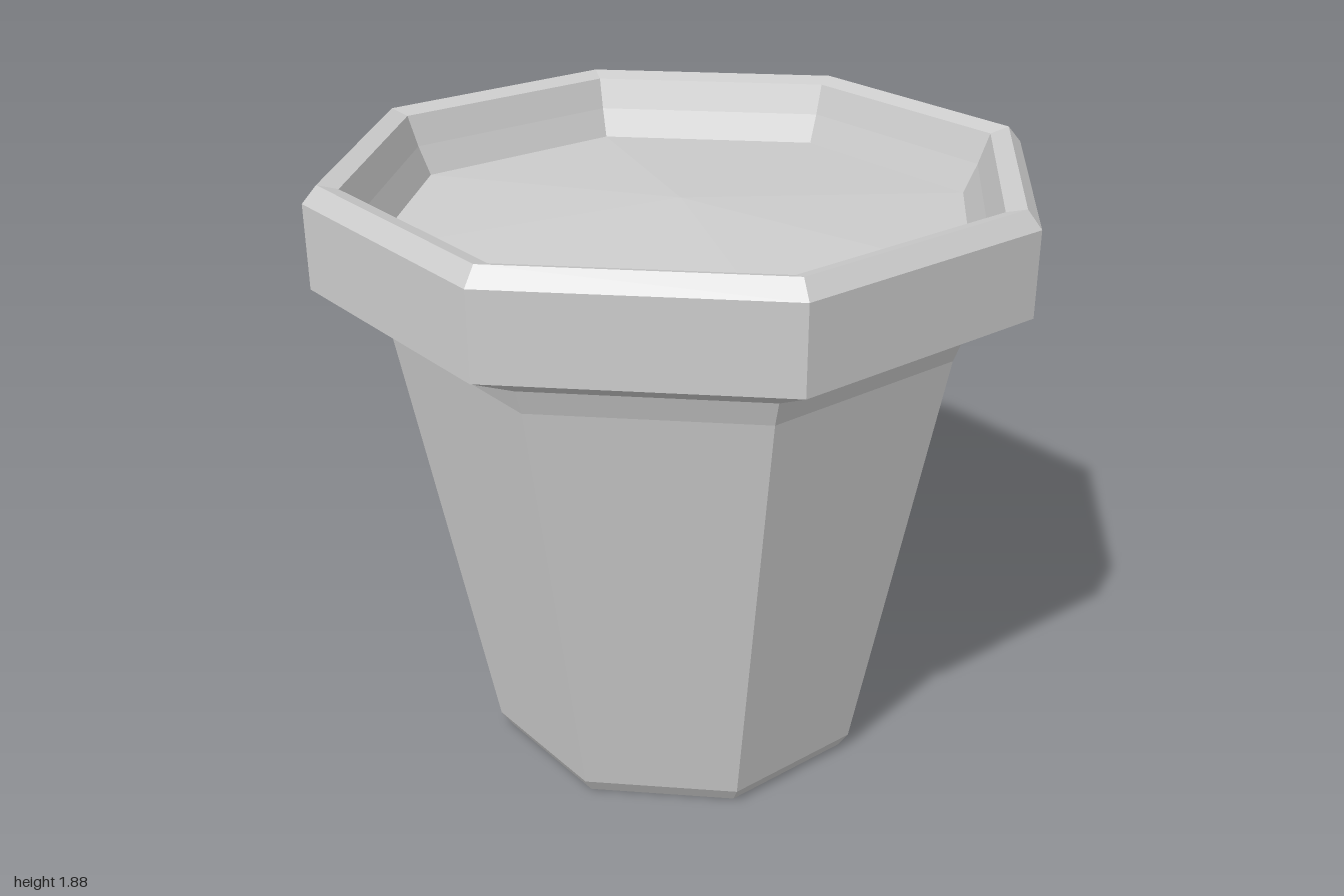
import * as THREE from 'three';

const SIDES = 8;
const TO_CORNER = 1 / Math.cos(Math.PI / SIDES);

// Octagonal lathe; profile points are [distance to flat side, height].
function octagon(name, profile, material) {
  const points = profile.map(([d, y]) => new THREE.Vector2(d * TO_CORNER, y));
  const turned = new THREE.LatheGeometry(points, SIDES, Math.PI / SIDES);
  const geometry = turned.toNonIndexed();
  geometry.computeVertexNormals(); // one normal per facet
  const mesh = new THREE.Mesh(geometry, material);
  mesh.name = name;
  return mesh;
}

export function createModel() {
  const clay = new THREE.MeshStandardMaterial({ color: 0xcccccc });
  clay.name = 'paleGrey';
  clay.flatShading = true;

  const pot = new THREE.Group();
  pot.name = 'plantPot';

  // Closed base, chamfered foot and tapering wall
  pot.add(octagon('body', [
    [0, 0], [0.535, 0], [0.565, 0.05], [0.8, 1.41], [0.825, 1.485],
  ], clay));

  // Thick collar with bevelled top, folding over into the pot
  pot.add(octagon('rim', [
    [0.825, 1.485], [1, 1.58], [1, 1.83], [0.96, 1.88],
    [0.905, 1.863], [0.873, 1.77], [0.835, 1.683],
  ], clay));

  // Slightly domed filling
  pot.add(octagon('soil', [[0.835, 1.683], [0, 1.75]], clay));

  return pot;
}
